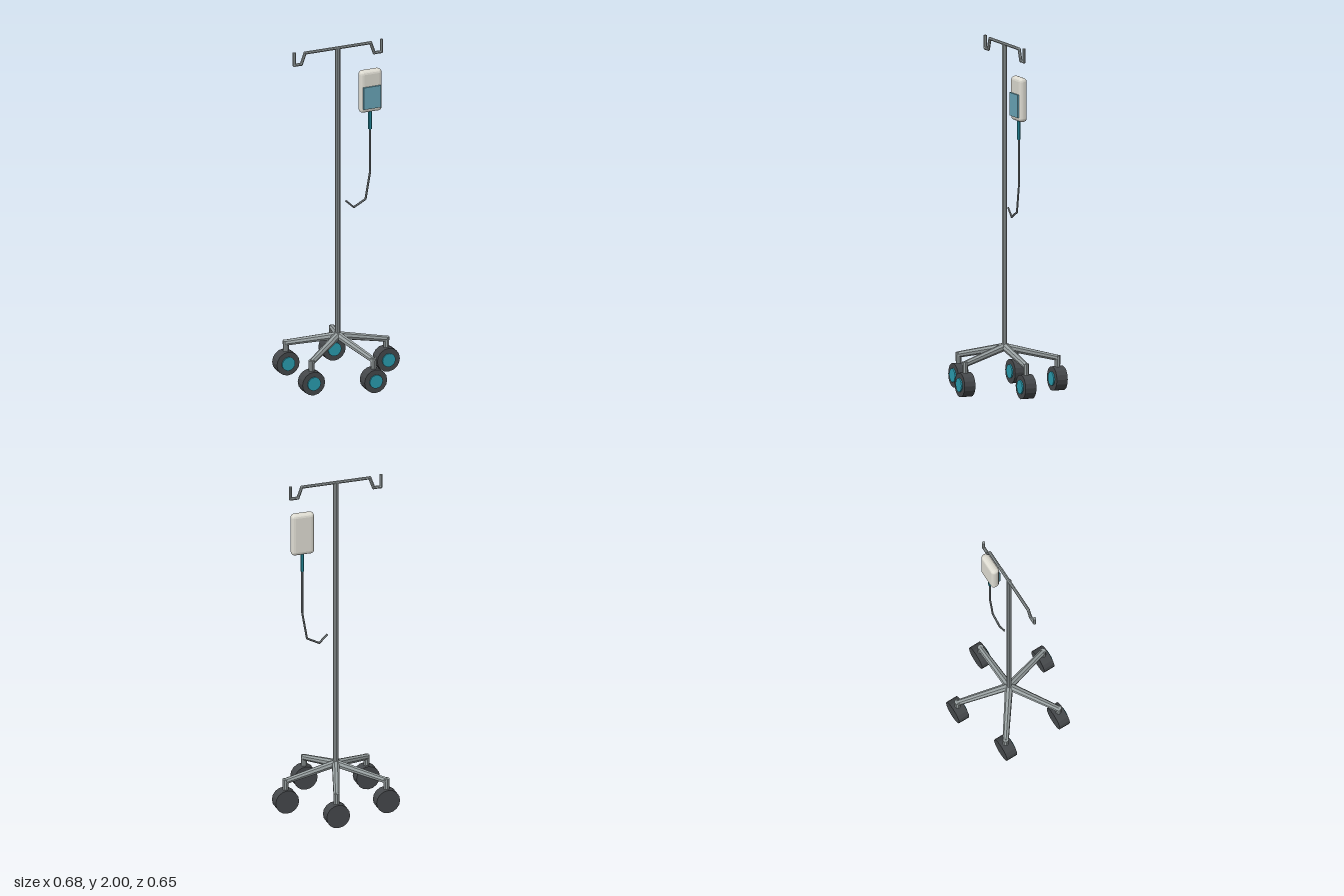
import * as THREE from 'three';
import { RoundedBoxGeometry } from 'three/addons/geometries/RoundedBoxGeometry.js';

const POLE_X = -0.03, Z = -0.006;
const v = (x, y, z = Z) => new THREE.Vector3(x, y, z);
const paint = (color) => new THREE.MeshStandardMaterial({ color, flatShading: true });

export function createModel() {
  const model = new THREE.Group();
  model.name = 'dripStand';
  const metal = paint(0x9aa2a3), rubber = paint(0x45484b), teal = paint(0x2a9db0);
  const bagSkin = paint(0xdedcd2), fluid = paint(0x69a6b8), hose = paint(0x80878a);

  const add = (parent, name, geometry, material) => {
    const mesh = new THREE.Mesh(geometry, material);
    mesh.name = name;
    parent.add(mesh);
    return mesh;
  };

  // Straight round bar from a to b, with radius ra at a and rb at b
  const bar = (parent, name, a, b, ra, rb, material, sides = 8) => {
    const dir = b.clone().sub(a);
    const mesh = add(parent, name, new THREE.CylinderGeometry(rb, ra, dir.length(), sides), material);
    mesh.position.copy(a).add(b).multiplyScalar(0.5);
    mesh.quaternion.setFromUnitVectors(new THREE.Vector3(0, 1, 0), dir.normalize());
    return mesh;
  };

  // Angular bent rod: bars joined by small ball joints
  const bentRod = (name, points, r, material, sides) => {
    const group = new THREE.Group();
    group.name = name;
    for (let i = 1; i < points.length; i++) {
      bar(group, 'rodSection', points[i - 1], points[i], r, r, material, sides);
      if (i < points.length - 1) {
        add(group, 'rodBend', new THREE.SphereGeometry(r, sides, 6), material).position.copy(points[i]);
      }
    }
    model.add(group);
  };

  // Pole and hub
  bar(model, 'pole', v(POLE_X, 0.24), v(POLE_X, 1.99), 0.0145, 0.0145, metal, 10);
  bar(model, 'hub', v(POLE_X, 0.235), v(POLE_X, 0.275), 0.022, 0.018, metal, 10);

  // Five sloping legs; all casters face the front
  for (let i = 0; i < 5; i++) {
    const a = (i * Math.PI * 2) / 5;
    const x = POLE_X + 0.3 * Math.cos(a), z = Z + 0.3 * Math.sin(a);
    const leg = new THREE.Group();
    leg.name = 'leg' + (i + 1);
    bar(leg, 'legBar', v(POLE_X, 0.255), v(x, 0.187, z), 0.023, 0.018, metal);
    bar(leg, 'casterStem', v(x, 0.12, z), v(x, 0.2, z), 0.016, 0.018, metal, 10);
    bar(leg, 'wheel', v(x, 0.07, z - 0.0335), v(x, 0.07, z + 0.0335), 0.07, 0.07, rubber, 16);
    bar(leg, 'wheelCap', v(x, 0.07, z + 0.03), v(x, 0.07, z + 0.041), 0.04, 0.04, teal, 16);
    model.add(leg);
  }

  // Top crossbar with a hook at each end
  const hook = [[0.27, 2.0], [0.27, 1.925], [0.226, 1.925], [0.203, 1.989]];
  bentRod('hangerBar', [
    ...hook.map(([x, y]) => v(POLE_X - x, y)),
    ...hook.slice().reverse().map(([x, y]) => v(POLE_X + x, y)),
  ], 0.0095, metal, 8);

  // Fluid bag with its front panel
  const bag = new THREE.Group();
  bag.name = 'bag';
  add(bag, 'bagBody', new RoundedBoxGeometry(0.136, 0.252, 0.05, 2, 0.021), bagSkin).position.set(0.17, 1.703, Z);
  add(bag, 'fluidPanel', new THREE.BoxGeometry(0.108, 0.132, 0.012), fluid).position.set(0.17, 1.669, 0.022);
  model.add(bag);

  // Drip chamber and angular hose
  bar(model, 'dripChamber', v(0.17, 1.47), v(0.17, 1.585), 0.011, 0.011, teal, 8);
  bentRod('hose', [
    v(0.17, 1.48), v(0.17, 1.21), v(0.142, 1.05), v(0.069, 1.012), v(0.02, 1.058),
  ], 0.006, hose, 6);

  return model;
}
